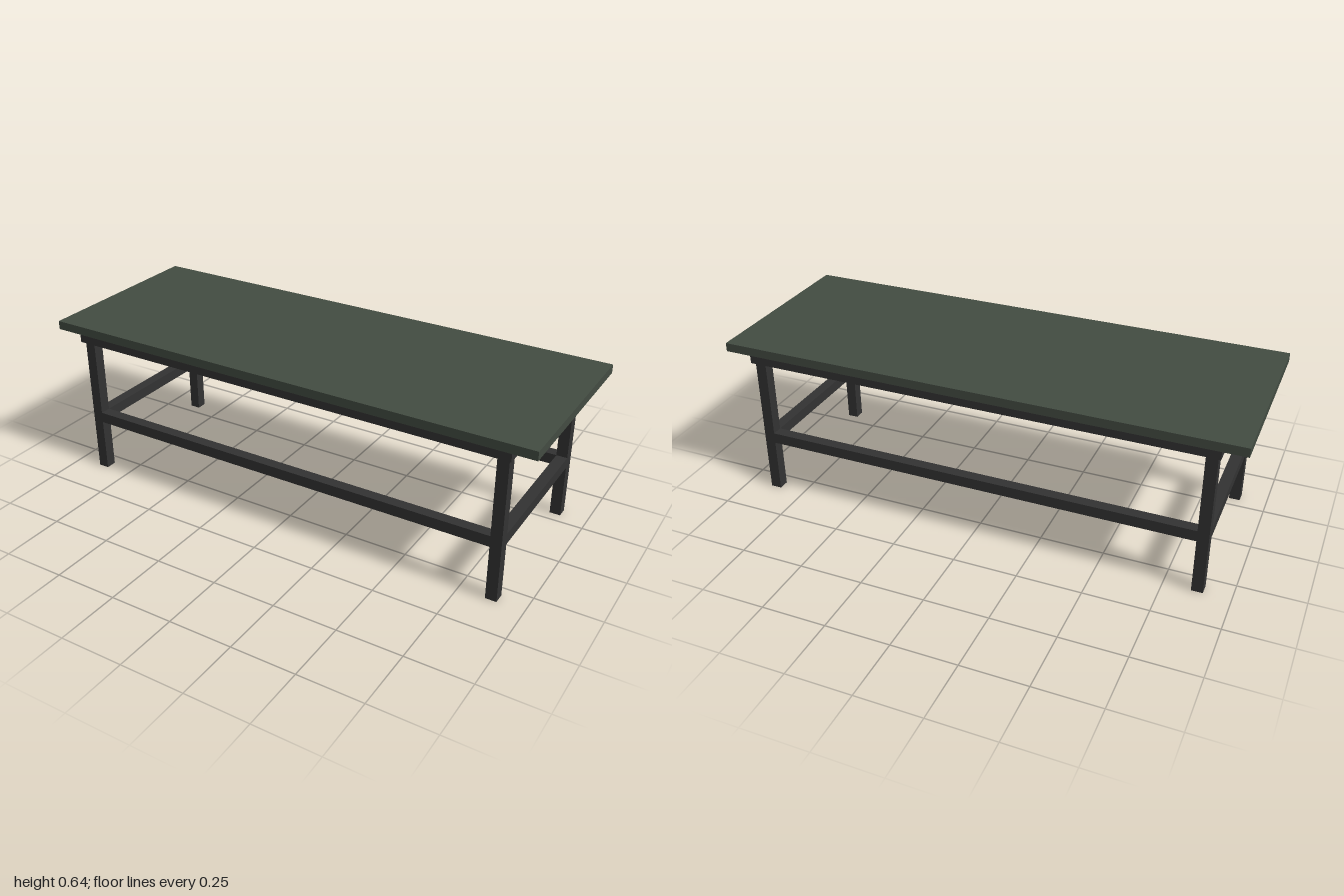
import * as THREE from 'three';

export function createModel() {
  const group = new THREE.Group();
  const topMaterial = new THREE.MeshStandardMaterial({ color: 0x434c42 });
  const frameMaterial = new THREE.MeshStandardMaterial({ color: 0x333333 });

  // Box given by its size, centre in x and z, and bottom height
  function box(name, material, [w, h, d], x, bottom, z) {
    const mesh = new THREE.Mesh(new THREE.BoxGeometry(w, h, d), material);
    mesh.name = name;
    mesh.position.set(x, bottom + h / 2, z);
    group.add(mesh);
  }

  const bar = 0.043; // thickness of legs and rails
  const legX = 0.876, legZ = 0.315;
  const plateBottom = 0.568, topBottom = 0.609, railBottom = 0.215;

  // Table top and the supporting plate below it
  box('tableTop', topMaterial, [2, 0.034, 0.738], 0, topBottom, 0);
  box('supportPlate', frameMaterial, [1.816, topBottom - plateBottom, 0.704], 0, plateBottom, 0);

  for (const s of [1, -1]) {
    // Legs at the four corners
    for (const t of [1, -1]) {
      const name = (t > 0 ? 'front' : 'back') + (s > 0 ? 'Left' : 'Right') + 'Leg';
      box(name, frameMaterial, [bar, plateBottom, bar], s * legX, 0, t * legZ);
    }
    // Stretchers between the legs
    box(s > 0 ? 'frontRail' : 'backRail', frameMaterial,
      [2 * legX - bar, bar, bar], 0, railBottom, s * legZ);
    box(s > 0 ? 'leftRail' : 'rightRail', frameMaterial,
      [bar, bar, 2 * legZ - bar], s * legX, railBottom, 0);
  }
  return group;
}
